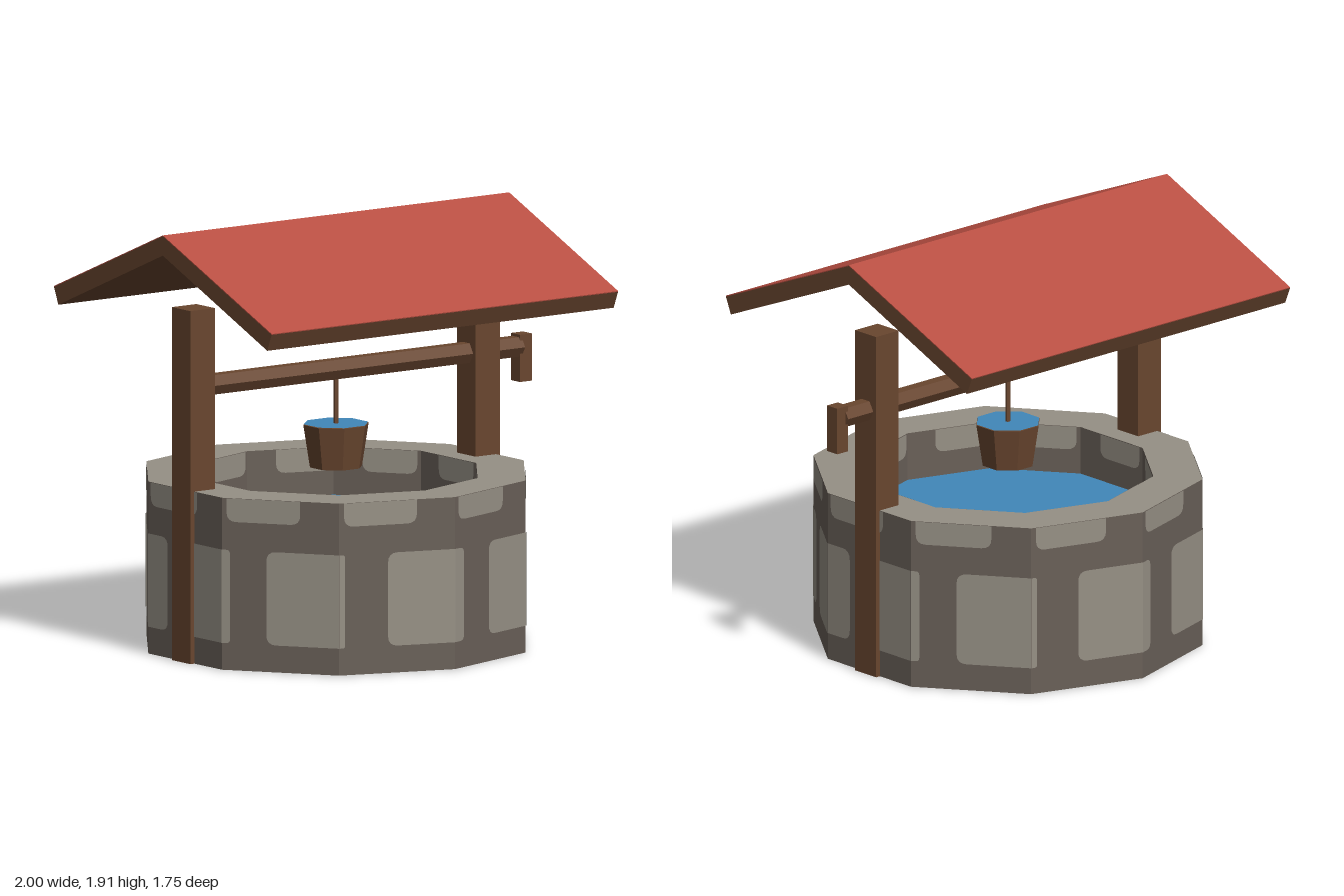
import * as THREE from 'three';

const SIDES = 10, R_OUT = 0.87, R_IN = 0.65, WALL_H = 0.765, CX = -0.05;

const flat = (name, color, side = THREE.FrontSide) =>
  new THREE.MeshStandardMaterial({ name, color, side, flatShading: true });

const mats = {
  wood: flat('wood', 0x69462f),
  roofRed: flat('roof red', 0xb84f42),
  mortar: flat('mortar', 0x696058, THREE.DoubleSide),
  stone: flat('stone', 0x969085, THREE.DoubleSide),
  lining: flat('dark lining', 0x46464f, THREE.DoubleSide),
  water: flat('water', 0x4187b9, THREE.DoubleSide),
};

function add(parent, name, geometry, material, x = 0, y = 0, z = 0) {
  const m = new THREE.Mesh(geometry, material);
  m.name = name;
  m.position.set(x, y, z);
  parent.add(m);
  return m;
}

// Rectangle whose corners can be rounded at each end and at the top
function stoneShape(x0, x1, y0, y1, roundL, roundR, roundTop) {
  const r = Math.min(0.045, (x1 - x0) * 0.45);
  const s = new THREE.Shape();
  const corner = (x, y, inX, inY, round, horizontalFirst) => {
    const a = [x + inX * r, y], b = [x, y + inY * r];
    const [p, q] = horizontalFirst ? [a, b] : [b, a];
    if (!round) return s.lineTo(x, y);
    s.lineTo(...p);
    s.quadraticCurveTo(x, y, ...q);
  };
  s.moveTo((x0 + x1) / 2, y0);
  corner(x1, y0, -1, 1, roundR, true);
  corner(x1, y1, -1, -1, roundR && roundTop, false);
  corner(x0, y1, 1, -1, roundL && roundTop, true);
  corner(x0, y0, 1, 1, roundL, false);
  s.closePath();
  return s;
}

// A stone face wrapped round the wall; u counts wall sides from the front corner
function addStone(parent, u0, u1, y0, y1, radius, offset, roundTop) {
  const apothem = radius * Math.cos(Math.PI / SIDES);
  const width = 2 * radius * Math.sin(Math.PI / SIDES);
  for (let k = Math.floor(u0); k < u1; k++) {
    const a = Math.max(u0, k), b = Math.min(u1, k + 1);
    if (b - a < 0.02) continue;
    const shape = stoneShape((a - k - 0.5) * width, (b - k - 0.5) * width, y0, y1,
      a === u0, b === u1, roundTop);
    const g = new THREE.ShapeGeometry(shape, 4);
    g.translate(0, 0, apothem + offset);
    if (offset < 0) {
      // inward-facing stones
      const idx = g.index.array;
      for (let i = 0; i < idx.length; i += 3) [idx[i], idx[i + 1]] = [idx[i + 1], idx[i]];
    }
    g.rotateY((k + 0.5) * 2 * Math.PI / SIDES);
    add(parent, 'stone', g, mats.stone);
  }
}

function buildWell() {
  const well = new THREE.Group();
  well.name = 'well';
  well.position.x = CX;
  const tube = (r) => new THREE.CylinderGeometry(r, r, WALL_H, SIDES, 1, true);
  const innerTube = tube(R_IN);
  innerTube.scale(1, 1, 1);
  add(well, 'outerWall', tube(R_OUT), mats.mortar, 0, WALL_H / 2);
  add(well, 'innerWall', innerTube, mats.mortar, 0, WALL_H / 2);
  add(well, 'shaftLining', tube(R_IN + 0.012), mats.lining, 0, WALL_H / 2 - 0.002);
  const ring = (r0, r1) => new THREE.RingGeometry(r0, r1, SIDES, 1, Math.PI / 2)
    .rotateX(-Math.PI / 2);
  add(well, 'rim', ring(R_IN, R_OUT), mats.stone, 0, WALL_H);
  add(well, 'liningLip', ring(R_IN - 0.015, R_IN + 0.012), mats.lining, 0, 0.001);
  const surface = new THREE.CircleGeometry(R_IN, SIDES, Math.PI / 2).rotateX(-Math.PI / 2);
  add(well, 'waterSurface', surface, mats.water, 0, 0.55);

  // Stone courses: the pattern repeats on the two halves of the wall
  const stones = new THREE.Group();
  stones.name = 'stones';
  well.add(stones);
  const course = [[0.47, 1.25], [1.48, 2.27], [2.45, 3.07], [3.38, 4.05], [4.42, 5.12]];
  const faces = [[R_OUT, 0.003], [R_OUT, -0.003], [R_IN, -0.004]];
  for (const [radius, offset] of faces) {
    for (const half of [0, 5]) {
      for (const [a, b] of course) addStone(stones, a + half, b + half, 0.12, 0.535, radius, offset, true);
      for (let k = 0; k < 5; k++) {
        addStone(stones, k + half + 0.04, k + half + 0.67, 0.66, WALL_H - 0.001, radius, offset, false);
      }
    }
  }
  return well;
}

// Chevron roof section, extruded along x
function chevron(top, eaveZ, eaveY, under, underZ, underY) {
  const s = new THREE.Shape([
    [0, top], [-eaveZ, eaveY], [-underZ, underY], [0, under], [underZ, underY], [eaveZ, eaveY],
  ].map(([x, y]) => new THREE.Vector2(x, y)));
  return new THREE.ExtrudeGeometry(s, { depth: 1.9, bevelEnabled: false }).rotateY(Math.PI / 2);
}

function buildRoof() {
  const roof = new THREE.Group();
  roof.name = 'roof';
  add(roof, 'roofBoards', chevron(1.904, 0.795, 1.572, 1.818, 0.763, 1.497), mats.wood, -1);
  add(roof, 'roofCovering', chevron(1.908, 0.796, 1.576, 1.904, 0.795, 1.572), mats.roofRed, -1);
  return roof;
}

function buildWinch() {
  const winch = new THREE.Group();
  winch.name = 'winch';
  const axle = new THREE.CylinderGeometry(0.05, 0.05, 1.78, 6).rotateZ(Math.PI / 2);
  add(winch, 'axle', axle, mats.wood, 0.06, 1.22);
  add(winch, 'handle', new THREE.BoxGeometry(0.065, 0.21, 0.066), mats.wood, 0.9675, 1.17);
  add(winch, 'rope', new THREE.CylinderGeometry(0.012, 0.012, 0.26, 6), mats.wood, CX, 1.08);
  return winch;
}

function buildBucket() {
  const bucket = new THREE.Group();
  bucket.name = 'bucket';
  bucket.position.x = CX;
  const body = new THREE.CylinderGeometry(0.148, 0.118, 0.19, 8).rotateY(Math.PI / 8);
  add(bucket, 'bucketBody', body, mats.wood, 0, 0.88);
  const fill = new THREE.CircleGeometry(0.146, 8, Math.PI / 8).rotateX(-Math.PI / 2);
  add(bucket, 'bucketWater', fill, mats.water, 0, 0.978);
  return bucket;
}

export function createModel() {
  const model = new THREE.Group();
  model.name = 'wishingWell';
  model.add(buildWell(), buildRoof(), buildWinch(), buildBucket());
  // Posts either side of the wall
  for (const [name, x] of [['rightPost', -0.8325], ['leftPost', 0.7325]]) {
    add(model, name, new THREE.BoxGeometry(0.135, 1.57, 0.135), mats.wood, x, 0.785);
  }
  return model;
}
